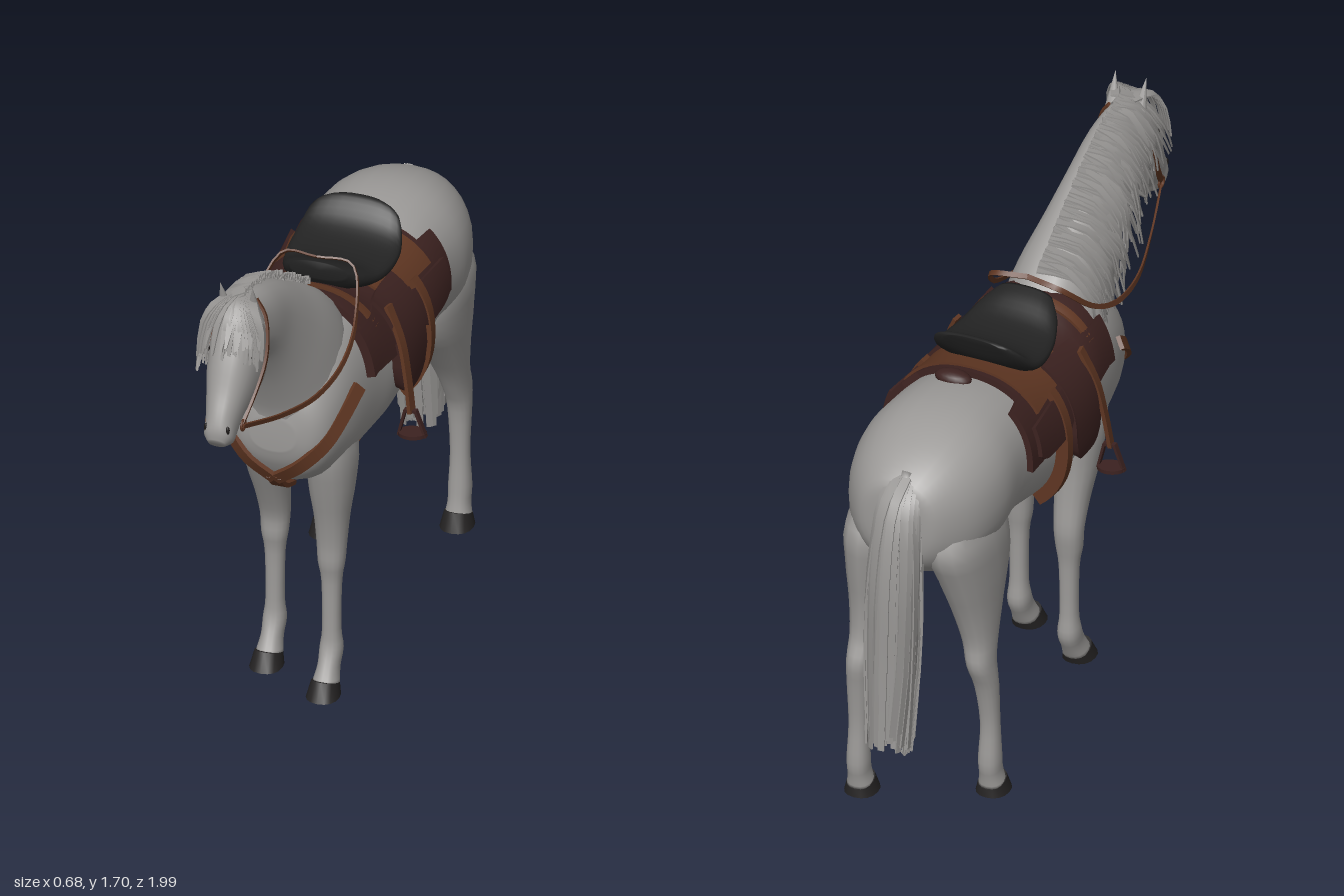
import * as THREE from 'three';
import { mergeGeometries, toCreasedNormals } from 'three/addons/utils/BufferGeometryUtils.js';

const V = (x, y, z) => new THREE.Vector3(x, y, z);
const mat = (name, color, side = THREE.FrontSide) => {
  const m = new THREE.MeshStandardMaterial({ color, side });
  m.name = name;
  return m;
};
const lerp = THREE.MathUtils.lerp, clamp = THREE.MathUtils.clamp;
const spow = (v, p) => Math.sign(v) * Math.abs(v) ** p;
const SQUARE = 0.88; // slightly squared cross-sections

// closed skin over rings of points, capped at both ends
function skin(rings) {
  const n = rings[0].length, pos = [], idx = [];
  rings.forEach(r => r.forEach(p => pos.push(p.x, p.y, p.z)));
  for (let i = 0; i < rings.length - 1; i++) for (let j = 0; j < n; j++) {
    const a = i * n + j, b = i * n + (j + 1) % n;
    idx.push(a, b, a + n, b, b + n, a + n);
  }
  [0, rings.length - 1].forEach((r, end) => {
    const c = rings[r].reduce((s, p) => s.add(p), V(0, 0, 0)).divideScalar(n);
    const k = pos.length / 3;
    pos.push(c.x, c.y, c.z);
    for (let j = 0; j < n; j++) {
      const a = r * n + j, b = r * n + (j + 1) % n;
      end ? idx.push(a, b, k) : idx.push(b, a, k);
    }
  });
  const g = new THREE.BufferGeometry();
  g.setAttribute('position', new THREE.Float32BufferAttribute(pos, 3));
  g.setIndex(idx);
  g.computeVertexNormals();
  return g;
}

// smooth in-between values for a list of stations
function refine(st, k) {
  const out = [], at = i => st[clamp(i, 0, st.length - 1)];
  for (let i = 0; i < st.length - 1; i++) for (let s = 0; s < k; s++) {
    const t = s / k;
    out.push(st[i].map((b, c) => {
      const a = at(i - 1)[c], d = at(i + 1)[c], e = at(i + 2)[c];
      return b + 0.5 * t * (d - a + t * (2 * a - 5 * b + 4 * d - e + t * (3 * (b - d) + e - a)));
    }));
  }
  out.push(st[st.length - 1]);
  return out;
}

// station: [z1, y1, z2, y2, halfWidth, x], two opposite profile points per section
function loft(st, k = 4, seg = 24) {
  return skin(refine(st, k).map(([z1, y1, z2, y2, w, x = 0]) =>
    Array.from({ length: seg }, (_, j) => {
      const a = j / seg * Math.PI * 2, s = spow(Math.sin(a), SQUARE) / 2;
      return V(x + w * spow(Math.cos(a), SQUARE), (y1 + y2) / 2 + (y1 - y2) * s, (z1 + z2) / 2 + (z1 - z2) * s);
    })));
}

// flat band along a curve, its face turned away from a centre point
function strap(pts, w, t = 0.012, centre = V(0, 1, 0), n = 14, taper = () => 1) {
  const curve = new THREE.CatmullRomCurve3(pts), rings = [];
  for (let i = 0; i <= n; i++) {
    const p = curve.getPoint(i / n), T = curve.getTangent(i / n);
    const N = p.clone().sub(centre);
    N.addScaledVector(T, -N.dot(T)).normalize();
    const B = T.clone().cross(N), h = w / 2 * taper(i / n);
    rings.push([[1, 1], [-1, 1], [-1, -1], [1, -1]].map(([a, b]) =>
      p.clone().addScaledVector(N, a * t / 2).addScaledVector(B, b * h)));
  }
  return toCreasedNormals(skin(rings), 0.7);
}

const bodySt = [
  [-0.845, 1.12, 1.0, 0.06], [-0.825, 1.18, 0.89, 0.135], [-0.72, 1.245, 0.81, 0.212], [-0.58, 1.285, 0.8, 0.245],
  [-0.42, 1.285, 0.82, 0.235], [-0.2, 1.245, 0.775, 0.235], [0, 1.24, 0.75, 0.233], [0.14, 1.285, 0.735, 0.215],
  [0.3, 1.28, 0.745, 0.197], [0.41, 1.2, 0.795, 0.17], [0.462, 1.12, 0.87, 0.13], [0.482, 1.04, 0.93, 0.07],
].map(([z, t, b, w]) => [z, t, z, b, w]);
const bodyFine = refine(bodySt, 5);

// point on the barrel at z and angle, raised by o
function onBody(z, a, o) {
  let i = 0;
  while (i < bodyFine.length - 2 && bodyFine[i + 1][0] < z) i++;
  const A = bodyFine[i], B = bodyFine[i + 1], t = (z - A[0]) / (B[0] - A[0]);
  const top = lerp(A[1], B[1], t) + o, bot = lerp(A[3], B[3], t) - o, w = lerp(A[4], B[4], t) + o;
  return { p: V(w * spow(Math.cos(a), SQUARE), (top + bot) / 2 + (top - bot) / 2 * spow(Math.sin(a), SQUARE), z), top, bot };
}
function angleFor(z, y, o) {
  const { top, bot } = onBody(z, 0, o);
  return Math.asin(spow(clamp((2 * y - top - bot) / (top - bot), -1, 1), 1 / SQUARE));
}
// sheet lying on the barrel from z0 to z1; over the back when hi is null, else a panel on each side
function drape(z0, z1, lo, hi, o, nz = 14, na = 24) {
  const sides = hi === null ? [1] : [1, -1];
  return mergeGeometries(sides.map(s => {
    const g = new THREE.PlaneGeometry(1, 1, na + 2, nz + 2), P = g.attributes.position;
    for (let r = 0, k = 0; r <= nz + 2; r++) for (let c = 0; c <= na + 2; c++, k++) {
      const tz = clamp((r - 1) / nz, 0, 1), ta = clamp((c - 1) / na, 0, 1), z = lerp(z0, z1, tz);
      const rim = r === 0 || c === 0 || r === nz + 2 || c === na + 2;
      const a0 = angleFor(z, lo(tz), o), a1 = hi === null ? Math.PI - a0 : angleFor(z, hi, o);
      const { p } = onBody(z, lerp(a0, a1, ta), rim ? 0 : o);
      P.setXYZ(k, p.x * s, p.y, p.z);
    }
    if (s < 0) g.setIndex(Array.from(g.index.array).reverse());
    g.computeVertexNormals();
    return toCreasedNormals(g, 0.6);
  }));
}

export function createModel() {
  const horse = new THREE.Group();
  horse.name = 'saddledHorse';
  const coat = mat('greyCoat', 0x9c9a98), hair = mat('greyHair', 0x969492, THREE.DoubleSide);
  const hoofMat = mat('hoof', 0x242222), leather = mat('brownLeather', 0x5f3622, THREE.DoubleSide);
  const cloth = mat('darkRedLeather', 0x3c2220, THREE.DoubleSide), black = mat('blackSeat', 0x232323);
  const eyeMat = mat('eye', 0x1c1817);
  const add = (name, geo, m) => {
    const mesh = new THREE.Mesh(geo, m);
    mesh.name = name;
    horse.add(mesh);
    return mesh;
  };
  let seed = 7;
  const rnd = () => (seed = (seed * 16807) % 2147483647) / 2147483647;
  const jit = a => (rnd() * 2 - 1) * a;

  // trunk, neck and head
  add('body', loft(bodySt, 5, 32), coat);
  add('neck', loft([
    [0.06, 1.18, 0.38, 0.84, 0.13], [0.12, 1.28, 0.468, 0.96, 0.155], [0.22, 1.37, 0.487, 1.06, 0.142], [0.36, 1.46, 0.543, 1.19, 0.112],
    [0.5, 1.545, 0.6, 1.29, 0.09], [0.64, 1.605, 0.66, 1.37, 0.08], [0.75, 1.63, 0.73, 1.41, 0.065],
  ]), coat);
  add('head', loft([
    [0.7, 1.61, 0.655, 1.45, 0.045], [0.77, 1.635, 0.67, 1.36, 0.066], [0.84, 1.595, 0.72, 1.3, 0.083], [0.9, 1.5, 0.8, 1.285, 0.075],
    [0.945, 1.4, 0.865, 1.262, 0.058], [0.98, 1.335, 0.895, 1.225, 0.048], [0.997, 1.29, 0.93, 1.213, 0.045], [0.997, 1.255, 0.97, 1.222, 0.026],
  ]), coat);

  for (const s of [1, -1]) {
    const side = s > 0 ? 'left' : 'right';
    const ear = add(side + 'Ear', new THREE.ConeGeometry(0.031, 0.15, 10), coat);
    ear.scale.z = 0.7;
    ear.position.set(s * 0.047, 1.625, 0.782);
    ear.rotation.set(0.32, 0, -s * 0.06);
    const eye = add(side + 'Eye', new THREE.SphereGeometry(0.01, 12, 8), eyeMat);
    eye.position.set(s * 0.075, 1.49, 0.858);
    const nostril = add(side + 'Nostril', new THREE.SphereGeometry(0.012, 10, 8), eyeMat);
    nostril.position.set(s * 0.034, 1.29, 0.98);
    nostril.scale.set(0.6, 1.2, 0.6);

    // legs: the pair is mid-stride, so the right ones are shifted along z
    const stance = (st, dz, x0, x1, reach) => st.map(([z1, y1, z2, y2, w]) => {
      const k = clamp((0.95 - (y1 + y2) / 2) / reach, 0, 1);
      return [z1 + dz * k, y1, z2 + dz * k, y2, w, s * lerp(x0, x1, k)];
    });
    const df = s > 0 ? 0 : -0.11, dh = s > 0 ? 0 : 0.17, xf = s > 0 ? 0.105 : 0.115, xh = s > 0 ? 0.152 : 0.205;
    add(side + 'FrontLeg', loft(stance([
      [0.34, 1.0, 0.15, 0.98, 0.03], [0.36, 0.85, 0.135, 0.83, 0.07], [0.335, 0.72, 0.165, 0.71, 0.069], [0.305, 0.6, 0.185, 0.6, 0.054],
      [0.288, 0.5, 0.198, 0.5, 0.046], [0.286, 0.43, 0.205, 0.43, 0.041], [0.275, 0.36, 0.213, 0.36, 0.031], [0.276, 0.2, 0.214, 0.2, 0.028],
      [0.285, 0.14, 0.206, 0.12, 0.035], [0.31, 0.09, 0.23, 0.065, 0.033], [0.342, 0.042, 0.25, 0.025, 0.041],
    ], df, 0.112, xf, 0.45), 3, 16), coat);
    add(side + 'FrontHoof', toCreasedNormals(loft(stance([
      [0.345, 0.056, 0.255, 0.022, 0.042], [0.378, 0, 0.262, 0, 0.051]], df, 0.112, xf, 0.45), 1, 16), 0.8), hoofMat);
    add(side + 'HindLeg', loft(stance([
      [-0.5, 1.12, -0.7, 1.1, 0.02], [-0.44, 0.95, -0.815, 0.95, 0.092], [-0.47, 0.82, -0.815, 0.82, 0.087], [-0.56, 0.7, -0.795, 0.68, 0.068],
      [-0.65, 0.58, -0.795, 0.56, 0.05], [-0.705, 0.48, -0.825, 0.48, 0.041], [-0.735, 0.4, -0.815, 0.39, 0.036], [-0.743, 0.25, -0.805, 0.25, 0.03],
      [-0.735, 0.14, -0.815, 0.12, 0.035], [-0.728, 0.085, -0.807, 0.065, 0.034], [-0.718, 0.042, -0.802, 0.028, 0.041],
    ], dh, 0.132, xh, 0.6), 3, 16), coat);
    add(side + 'HindHoof', toCreasedNormals(loft(stance([
      [-0.715, 0.058, -0.803, 0.026, 0.042], [-0.69, 0, -0.808, 0, 0.052]], dh, 0.132, xh, 0.6), 1, 16), 0.8), hoofMat);
  }

  // mane falling to the right, forelock and tail
  const thin = t => 1 - 0.75 * t * t;
  const crest = new THREE.CatmullRomCurve3([V(0, 1.345, 0.18), V(0, 1.46, 0.36), V(0, 1.55, 0.5), V(0, 1.61, 0.64), V(0, 1.64, 0.77)]);
  const mane = [], fore = [], tail = [];
  for (let i = 0; i < 90; i++) {
    const t = i / 89, p = crest.getPoint(t), w = lerp(0.142, 0.07, t), L = lerp(0.24, 0.2, t) + jit(0.06), dz = 0.04 + jit(0.06);
    mane.push(strap([V(0.012, p.y + 0.006 + rnd() * 0.012, p.z + jit(0.01)), V(-w * 0.6, p.y - 0.015 + jit(0.012), p.z + dz * 0.3),
      V(-w - 0.008 - rnd() * 0.022, p.y - 0.1, p.z + dz * 0.7), V(-w - 0.012 - rnd() * 0.025, p.y - L, p.z + dz * 1.4)],
    0.03, 0.005, V(0, p.y - 0.12, p.z), 6, thin));
  }
  for (let i = 0; i < 34; i++) {
    const x = jit(0.095), L = 0.09 + rnd() * 0.08, ax = Math.abs(x);
    fore.push(strap([V(x * 0.3, 1.64, 0.755), V(x * 0.7, 1.63, 0.83), V(x, 1.575, 0.875 - ax * 0.25),
      V(x * 1.1, 1.62 - L, 0.908 - ax * 0.4)], 0.028, 0.005, V(0, 1.5, 0.76), 6, thin));
  }
  const tailPath = [[-0.775, 1.19, 0.035], [-0.835, 1.12, 0.058], [-0.872, 0.9, 0.076], [-0.885, 0.62, 0.078], [-0.918, 0.31, 0.066]];
  for (let i = 0; i < 76; i++) {
    const a = i * 2.4, r = 0.7 + rnd() * 0.45, cut = jit(0.035) - 0.04 * Math.sin(a);
    tail.push(strap(tailPath.map(([z, y, k], j) => V(-0.018 + Math.cos(a) * k * r * 0.95 + jit(0.006), y + (j === 4 ? cut : 0), z + Math.sin(a) * k * r)),
      0.028, 0.005, V(-0.018, 0.7, -0.89), 10, t => 1 - 0.3 * t));
  }
  add('mane', mergeGeometries(mane), hair);
  add('forelock', mergeGeometries(fore), hair);
  add('tailHair', mergeGeometries(tail), hair);
  add('tailCore', loft([
    [-0.76, 1.14, -0.8, 1.205, 0.03], [-0.795, 1.05, -0.88, 1.11, 0.045], [-0.815, 0.85, -0.93, 0.85, 0.056],
    [-0.83, 0.6, -0.945, 0.6, 0.056], [-0.875, 0.35, -0.965, 0.35, 0.045]].map(p => [...p, -0.018]), 4, 14), hair);

  // saddle, from the blanket outwards
  add('saddleBlanket', drape(-0.335, 0.18, t => 1.045 + 0.03 * t, null, 0.02), cloth);
  add('blanketCorners', drape(-0.41, -0.33, () => 1.04, 1.24, 0.02, 4), cloth);
  add('saddleSkirt', drape(-0.31, -0.04, () => 1.185, null, 0.028), leather);
  add('pommelBand', drape(0.095, 0.125, () => 1.2, null, 0.028, 3), leather);
  add('saddlebags', drape(-0.37, -0.14, t => 1.045 + 0.03 * (2 * t - 1) ** 4, 1.175, 0.034), cloth);
  add('saddleFlaps', drape(-0.14, 0.045, t => 0.91 + 0.1 * Math.abs(2 * t - 1) ** 5, 1.24, 0.038), cloth);
  add('frontPads', drape(0.05, 0.21, t => 1.11 - 0.03 * t, 1.23, 0.028), cloth);
  add('girth', drape(0.045, 0.095, () => 0.5, 0.77, 0.01, 3, 16), leather);
  add('hangingStraps', drape(-0.208, -0.172, () => 0.79, 1.2, 0.04, 3, 14), leather);
  add('seat', loft([
    [-0.302, 1.385, -0.285, 1.345, 0.085], [-0.28, 1.382, -0.255, 1.29, 0.14], [-0.22, 1.33, -0.2, 1.235, 0.166], [-0.14, 1.304, -0.14, 1.225, 0.17],
    [-0.05, 1.308, -0.05, 1.225, 0.155], [0.03, 1.345, 0.03, 1.25, 0.125], [0.075, 1.36, 0.07, 1.3, 0.09]]), black);
  const roll = add('rearRoll', new THREE.SphereGeometry(1, 16, 10), cloth);
  roll.scale.set(0.06, 0.025, 0.035);
  roll.position.set(0.03, 1.28, -0.37);

  const frame = new THREE.Shape([[-0.047, 0], [0.047, 0], [0.02, 0.09], [-0.02, 0.09]].map(p => new THREE.Vector2(...p)));
  frame.holes.push(new THREE.Path([[-0.036, 0.01], [-0.014, 0.081], [0.014, 0.081], [0.036, 0.01]].map(p => new THREE.Vector2(...p))));
  const stirrupGeo = new THREE.ExtrudeGeometry(frame, { depth: 0.018, bevelEnabled: false });

  for (const s of [1, -1]) {
    const side = s > 0 ? 'left' : 'right', pts = a => a.map(([x, y, z]) => V(s * x, y, z));
    add(side + 'StirrupLeather', strap(pts([[0.205, 1.22, 0.022], [0.252, 1.11, 0.035], [0.275, 1.0, 0.045], [0.292, 0.88, 0.055]]), 0.032), leather);
    const stirrup = add(side + 'Stirrup', stirrupGeo, cloth);
    stirrup.position.set(s * 0.294, 0.8, 0.045);
    stirrup.rotation.z = s * 0.06;
    const tread = add(side + 'StirrupTread', new THREE.CylinderGeometry(0.045, 0.045, 0.012, 16), cloth);
    tread.position.set(s * 0.294, 0.806, 0.052);
    tread.scale.z = 0.75;
    tread.rotation.z = s * 0.06;

    // breast collar, bridle and reins
    add(side + 'BreastStrap', strap(pts([[0.21, 1.09, 0.29], [0.19, 1.03, 0.375], [0.155, 0.96, 0.442], [0.088, 0.89, 0.476], [0, 0.82, 0.462]]),
      0.042, 0.014, V(0, 0.98, 0.2)), leather);
    add(side + 'CheekStrap', strap(pts([[0.04, 1.615, 0.735], [0.07, 1.57, 0.742], [0.085, 1.5, 0.762], [0.087, 1.43, 0.79], [0.073, 1.35, 0.84], [0.055, 1.275, 0.9]]),
      0.018, 0.008, V(0, 1.42, 0.8)), leather);
    const ring = add(side + 'BitRing', new THREE.TorusGeometry(0.017, 0.004, 6, 16), leather);
    ring.position.set(s * 0.056, 1.27, 0.9);
    ring.rotation.y = Math.PI / 2;
    add(side + 'Rein', strap(pts([[0.056, 1.265, 0.9], [0.115, 1.205, 0.7], [0.16, 1.18, 0.52], [0.178, 1.2, 0.34], [0.165, 1.26, 0.2], [0.11, 1.375, 0.075], [0, 1.385, 0.085]]),
      0.016, 0.006, V(0, 1.15, 0.3), 28), leather);
  }
  add('chestStrap', strap([V(0, 0.83, 0.466), V(0, 0.775, 0.415), V(0, 0.737, 0.33)], 0.045, 0.014, V(0, 1, 0.2)), leather);
  return horse;
}
